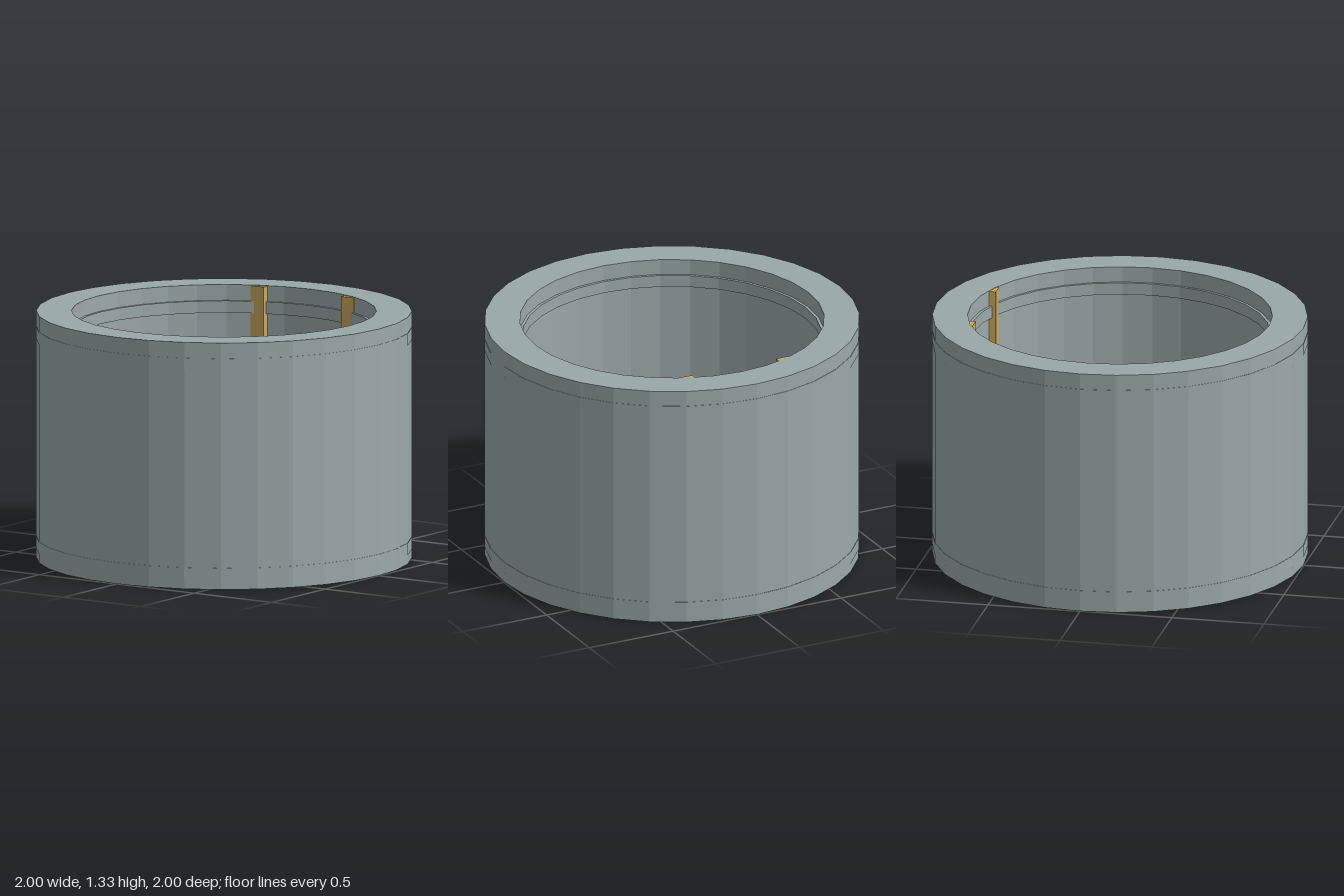
import * as THREE from 'three';

const SIDES = 32;
const HEIGHT = 1.33;

// Faceted ring of rectangular section, open through the middle
function ringGeometry(inner, outer, y0, y1) {
  const profile = [[outer, y0], [outer, y1], [inner, y1], [inner, y0], [outer, y0]]
    .map(([r, y]) => new THREE.Vector2(r, y));
  const geometry = new THREE.LatheGeometry(profile, SIDES).toNonIndexed();
  geometry.computeVertexNormals();
  return geometry;
}

export function createModel() {
  const model = new THREE.Group();
  model.name = 'ringHousing';

  const steel = new THREE.MeshStandardMaterial({ color: 0x9aa8aa });
  steel.name = 'greySteel';
  const brass = new THREE.MeshStandardMaterial({ color: 0xc9a85a });
  brass.name = 'brass';

  const add = (name, geometry, material) => {
    const mesh = new THREE.Mesh(geometry, material);
    mesh.name = name;
    model.add(mesh);
    return mesh;
  };

  // Main sleeve
  add('sleeve', ringGeometry(0.81, 0.998, 0, HEIGHT), steel);

  // Bands near both ends, forming a small lip inside the bore
  add('lowerBand', ringGeometry(0.795, 1, 0.05, 0.115), steel);
  add('upperBand', ringGeometry(0.795, 1, 1.18, 1.245), steel);

  // Pair of upright guide rails on the rear inner wall
  for (const side of [-1, 1]) {
    const rail = add(side > 0 ? 'leftRail' : 'rightRail',
      new THREE.BoxGeometry(0.084, HEIGHT - 0.006, 0.04), brass);
    rail.position.set(side * 0.292, HEIGHT / 2, -0.75);
  }

  return model;
}
